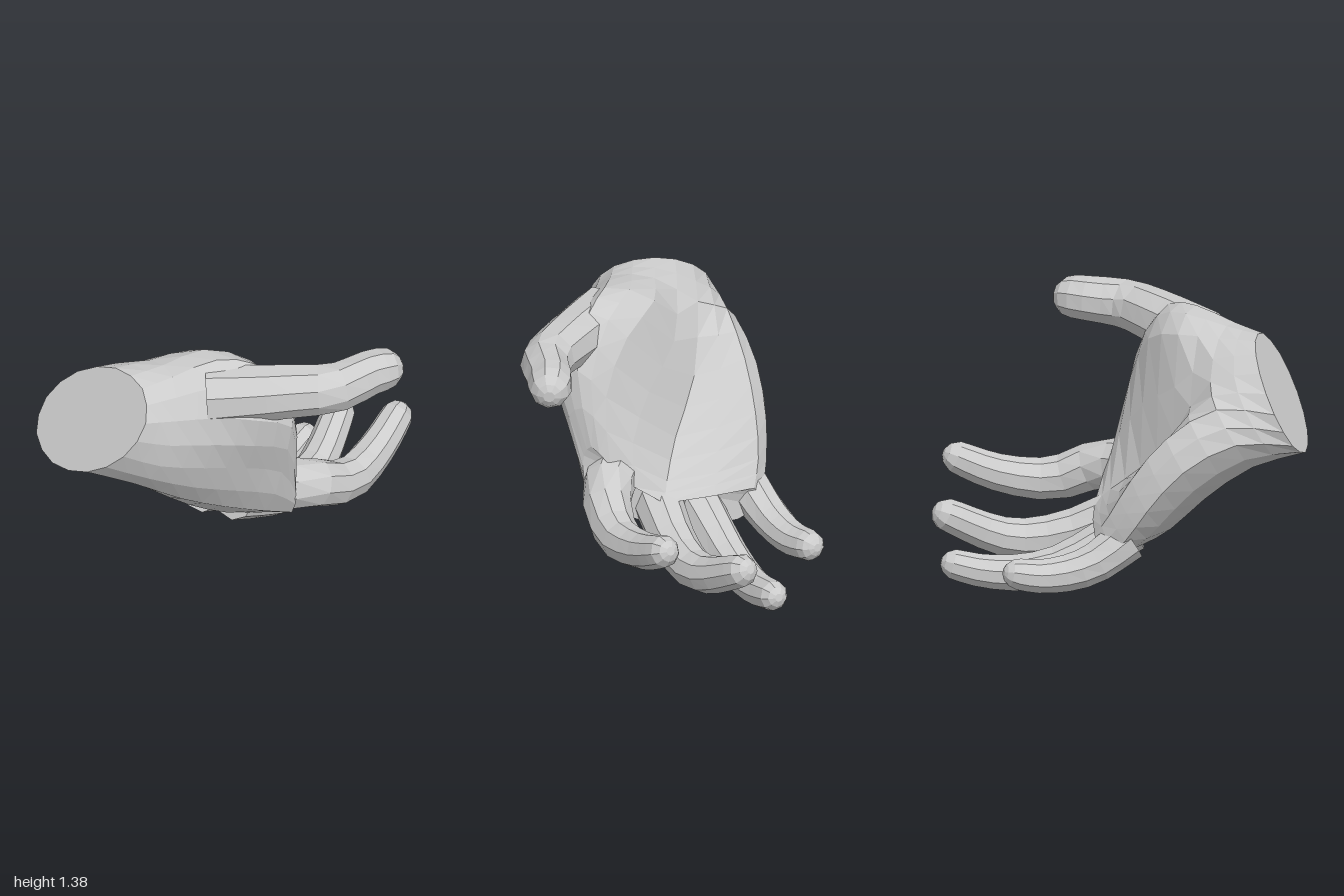
import * as THREE from 'three';

const material = new THREE.MeshStandardMaterial({ color: 0xcccccc, flatShading: true });
const vec = (p) => new THREE.Vector3(...p);
const centroid = (ring) =>
  ring.reduce((sum, p) => sum.add(p), new THREE.Vector3()).divideScalar(ring.length);

// Ring of points around a centre, turning from axis u towards axis v.
const ellipse = (centre, u, v, count) =>
  Array.from({ length: count }, (_, j) => {
    const a = (j / count) * Math.PI * 2;
    return centre.clone().addScaledVector(u, Math.cos(a)).addScaledVector(v, Math.sin(a));
  });

// Skin a list of rings (counter-clockwise about the travel direction) and cap both ends.
function loft(name, rings) {
  const n = rings[0].length;
  const last = (rings.length - 1) * n;
  const points = [...rings.flat(), centroid(rings[0]), centroid(rings[rings.length - 1])];
  const startCap = points.length - 2;
  const endCap = points.length - 1;
  const index = [];
  for (let j = 0; j < n; j++) {
    const k = (j + 1) % n;
    for (let r = 0; r < last; r += n) {
      index.push(r + j, r + k, r + n + k, r + j, r + n + k, r + n + j);
    }
    index.push(startCap, k, j, endCap, last + j, last + k);
  }
  const indexed = new THREE.BufferGeometry().setFromPoints(points);
  indexed.setIndex(index);
  const geometry = indexed.toNonIndexed();
  geometry.computeVertexNormals();
  const mesh = new THREE.Mesh(geometry, material);
  mesh.name = name;
  return mesh;
}

// Finger: a tapering tube with a rounded tip; the rings crowd towards the tip.
function finger(name, rootRadius, tipRadius, path) {
  const curve = new THREE.CatmullRomCurve3(path.map(vec));
  const length = curve.getLength();
  const palmNormal = new THREE.Vector3(-0.35, 0.85, -0.35);
  const steps = 11;
  const rings = Array.from({ length: steps + 1 }, (_, i) => {
    const rest = (1 - i / steps) ** 1.7;
    const t = curve.getTangentAt(1 - rest);
    const u = palmNormal.clone().addScaledVector(t, -palmNormal.dot(t)).normalize();
    const v = t.clone().cross(u);
    const tip = 0.96 * Math.max(0, 1 - (rest * length) / tipRadius);
    const radius = THREE.MathUtils.lerp(tipRadius, rootRadius, rest) * Math.sqrt(1 - tip * tip);
    return ellipse(curve.getPointAt(1 - rest), u.multiplyScalar(radius), v.multiplyScalar(radius), 9);
  });
  return loft(name, rings);
}

// Palm: the cut wrist is an ellipse, then five cross-sections lead to the knuckles. Each runs
// from the thumb mound over the thumb side, back and little-finger edge to the palm hollow.
function palm() {
  const wrist = ellipse(vec([-.768, 1.065, .35]), vec([.225, .235, .14]), vec([.06, -.12, .235]), 9);
  const sections = [
    [[-.38, 1.33, .47], [-.4, 1.15, .6], [-.48, .9, .61], [-.58, .74, .5],
      [-.76, .73, .12], [-.8, .9, -.07], [-.67, 1.06, -.06], [-.54, 1.15, .06], [-.44, 1.31, .26]],
    [[-.15, 1.38, .45], [-.18, 1.15, .63], [-.25, .85, .61], [-.34, .6, .48],
      [-.53, .54, .02], [-.6, .76, -.24], [-.46, .9, -.2], [-.33, .84, .03], [-.22, 1.3, .21]],
    [[.05, 1.34, .48], [.02, 1.12, .66], [-.03, .8, .59], [-.12, .51, .47],
      [-.35, .36, -.02], [-.43, .54, -.32], [-.31, .68, -.29], [-.09, .61, .07], [.03, 1.21, .29]],
    [[.23, 1.1, .5], [.2, 1.02, .61], [.16, .72, .55], [.1, .44, .46],
      [-.18, .25, -.04], [-.31, .37, -.34], [-.2, .48, -.33], [.1, .46, .07], [.2, .95, .36]],
    [[.27, .7, .42], [.26, .64, .46], [.26, .52, .46], [.25, .38, .42],
      [.03, .18, -.08], [-.16, .24, -.36], [-.11, .36, -.33], [.19, .38, .06], [.27, .6, .32]],
  ].map((section) => section.map(vec));

  // Refine around and along with smooth curves.
  const around = 18, along = 10;
  const loops = [wrist, ...sections].map((points) => {
    const curve = new THREE.CatmullRomCurve3(points, true);
    return Array.from({ length: around }, (_, j) => curve.getPoint(j / around));
  });
  const strands = loops[0].map((_, j) => new THREE.CatmullRomCurve3(loops.map((l) => l[j])));
  const rings = Array.from({ length: along + 1 }, (_, i) => strands.map((s) => s.getPoint(i / along)));
  return loft('palmAndWrist', rings);
}

export function createModel() {
  const hand = new THREE.Group();
  hand.name = 'hand';
  hand.add(
    palm(),
    finger('thumb', .16, .105, [[-.2, 1.19, .47], [.2, 1.22, .58], [.43, 1.23, .62], [.62, 1.24, .55], [.79, 1.235, .515]]),
    finger('indexFinger', .14, .08, [[.1, .52, .33], [.36, .475, .32], [.58, .385, .215], [.78, .42, .04], [.98, .54, -.155]]),
    finger('middleFinger', .13, .082, [[.02, .36, .16], [.3, .215, -.02], [.52, .19, -.2], [.765, .37, -.515]]),
    finger('ringFinger', .125, .075, [[-.1, .32, 0], [.2, .115, -.28], [.44, .095, -.47], [.63, .155, -.63]]),
    finger('littleFinger', .115, .076, [[-.25, .35, -.23], [-.12, .215, -.4], [.03, .175, -.56], [.165, .21, -.72]]),
  );
  return hand;
}
